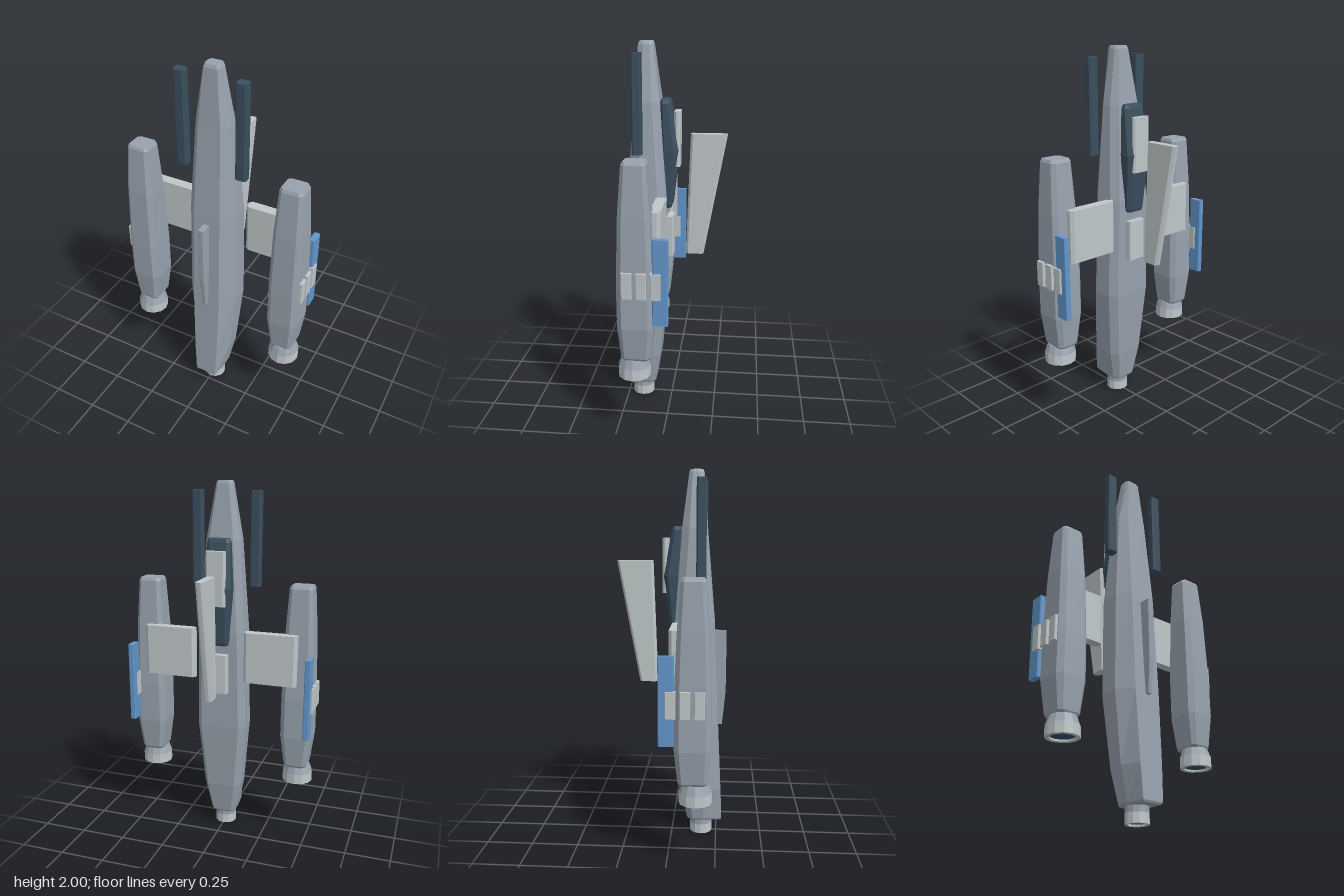
import * as THREE from 'three';

const mat = (name, color) => {
  const m = new THREE.MeshStandardMaterial({ color });
  m.name = name;
  return m;
};

// Outline of a rectangle with cut corners, running front -> +x -> back -> -x
function rect(cx, hw, zb, zf, c) {
  return [
    [cx - hw + c, zf], [cx + hw - c, zf], [cx + hw, zf - c], [cx + hw, zb + c],
    [cx + hw - c, zb], [cx - hw + c, zb], [cx - hw, zb + c], [cx - hw, zf - c],
  ];
}

// Hull outline: wide flat back, straight flanks, narrow front face
function hullRing(w, back, mid, front, fw) {
  const c = Math.min(0.03, w * 0.3);
  return [
    [-fw, front], [fw, front], [w, mid], [w, back + c * 1.4],
    [w - c, back], [c - w, back], [-w, back + c * 1.4], [-w, mid],
  ];
}

// Faceted solid through [y, ring] levels from bottom to top, capped at both ends
function loft(levels) {
  const pos = [];
  const put = (l, i) => pos.push(l[1][i % l[1].length][0], l[0], l[1][i % l[1].length][1]);
  const n = levels[0][1].length;
  for (let k = 0; k + 1 < levels.length; k++) {
    const a = levels[k], b = levels[k + 1];
    for (let i = 0; i < n; i++) {
      put(a, i); put(a, i + 1); put(b, i + 1);
      put(a, i); put(b, i + 1); put(b, i);
    }
  }
  const bottom = levels[0], top = levels[levels.length - 1];
  for (let i = 1; i < n - 1; i++) {
    put(bottom, 0); put(bottom, i + 1); put(bottom, i);
    put(top, 0); put(top, i); put(top, i + 1);
  }
  const g = new THREE.BufferGeometry();
  g.setAttribute('position', new THREE.Float32BufferAttribute(pos, 3));
  g.computeVertexNormals();
  return g;
}

// Upright block with cut vertical edges
const block = (cx, hw, y0, y1, zb, zf, c) =>
  loft([[y0, rect(cx, hw, zb, zf, c)], [y1, rect(cx, hw, zb, zf, c)]]);

export function createModel() {
  const model = new THREE.Group();
  model.name = 'spacecraft';
  const grey = mat('hull grey', 0x98a2ae);
  const pale = mat('pale panel', 0xbfc7c8);
  const navy = mat('dark navy', 0x3a4f5e);
  const blue = mat('blue accent', 0x6297cb);
  const glow = mat('engine interior', 0x36536e);

  const add = (name, geometry, material, parent = model) => {
    const m = new THREE.Mesh(geometry, material);
    m.name = name;
    parent.add(m);
    return m;
  };

  // Engine nozzle: grey sleeve, pale lip and dark recessed disc
  function nozzle(name, x, z, y0, y1, rBottom, rTop) {
    const g = new THREE.Group();
    g.name = name;
    g.position.set(x, 0, z);
    model.add(g);
    const ym = y0 + (y1 - y0) * 0.55, rm = rBottom * 0.96 + rTop * 0.04;
    const wall = (pts) => new THREE.LatheGeometry(pts.map((p) => new THREE.Vector2(...p)), 12).toNonIndexed();
    const sleeve = wall([[rm, ym], [rTop, y1], [0, y1]]);
    const lip = wall([[rBottom * 0.74, y0 + 0.012], [rBottom * 0.74, y0], [rBottom, y0], [rm, ym]]);
    for (const s of [sleeve, lip]) s.computeVertexNormals();
    add('nozzleSleeve', sleeve, grey, g);
    add('nozzleLip', lip, pale, g);
    const disc = add('nozzleInterior', new THREE.CircleGeometry(rBottom * 0.75, 12), glow, g);
    disc.rotation.x = Math.PI / 2;
    disc.position.y = y0 + 0.01;
  }

  // Central hull
  add('hull', loft([
    [0.085, hullRing(0.066, 0.095, 0.18, 0.276, 0.055)],
    [0.095, hullRing(0.073, 0.088, 0.18, 0.281, 0.062)],
    [0.27, hullRing(0.108, 0.06, 0.175, 0.273, 0.07)],
    [0.65, hullRing(0.14, 0.032, 0.17, 0.255, 0.078)],
    [1.2, hullRing(0.13, 0.022, 0.165, 0.232, 0.075)],
    [1.7, hullRing(0.095, 0.057, 0.15, 0.19, 0.06)],
    [1.985, hullRing(0.045, 0.092, 0.145, 0.17, 0.036)],
    [2, hullRing(0.038, 0.098, 0.143, 0.163, 0.03)],
  ]), grey);
  nozzle('hullNozzle', 0, 0.165, 0, 0.095, 0.061, 0.06);

  // Keel along the front of the hull
  add('keel', loft([
    [0.63, rect(0, 0.011, 0.2, 0.278, 0.003)],
    [0.82, rect(0, 0.015, 0.2, 0.296, 0.004)],
    [1.155, rect(0, 0.016, 0.2, 0.297, 0.004)],
  ]), grey);

  // Canopy with its back plate, and the plate lower on the spine
  add('canopy', loft([
    [1.135, rect(0, 0.05, 0.0, 0.04, 0.012)],
    [1.15, rect(0, 0.058, -0.006, 0.05, 0.016)],
    [1.45, rect(0, 0.077, -0.04, 0.06, 0.024)],
    [1.69, rect(0, 0.064, 0.002, 0.06, 0.017)],
    [1.71, rect(0, 0.055, 0.01, 0.052, 0.012)],
  ]), navy);
  add('canopyPlate', block(0, 0.054, 1.36, 1.65, -0.047, -0.015, 0.01), pale);
  add('spinePlate', block(0, 0.054, 0.865, 1.085, -0.012, 0.045, 0.008), pale);

  // Swept tail fin standing clear behind the hull
  add('tailFin', loft([
    [0.87, rect(0, 0.022, -0.175, -0.077, 0.012)],
    [1.53, rect(0, 0.022, -0.294, -0.1, 0.012)],
  ]), pale);

  for (const s of [1, -1]) {
    const side = s > 0 ? 'left' : 'right';

    // Wing and forward gun
    add(side + 'Wing', block(s * 0.287, 0.147, 0.935, 1.215, 0.013, 0.069, 0.016), pale);
    add(side + 'Gun', block(s * 0.164, 0.029, 1.445, 1.95, 0.136, 0.187, 0.008), navy);

    // Engine pod: [y, half width, back z, front z, corner cut]
    const pod = [
      [0.445, 0.056, 0.068, 0.203, 0.018], [0.458, 0.064, 0.06, 0.21, 0.02],
      [0.63, 0.086, 0.042, 0.225, 0.026], [0.85, 0.085, 0.041, 0.226, 0.026],
      [1.2, 0.077, 0.055, 0.214, 0.023], [1.455, 0.063, 0.073, 0.194, 0.018],
      [1.47, 0.056, 0.081, 0.186, 0.014],
    ];
    add(side + 'Pod', loft(pod.map(([y, hw, zb, zf, c]) => [y, rect(s * 0.432, hw, zb, zf, c)])), grey);
    nozzle(side + 'PodNozzle', s * 0.434, 0.148, 0.345, 0.447, 0.085, 0.067);

    // Blue strip and the row of three small plates on the outer flank
    add(side + 'Strip', block(s * 0.506, 0.016, 0.66, 1.105, -0.034, 0.043, 0.004), blue);
    for (let i = 0; i < 3; i++) {
      const z = 0.026 + i * 0.0715;
      add(side + 'FlankPlate', block(s * 0.508, 0.024, 0.8, 0.933, z - 0.026, z + 0.026, 0.003), pale);
    }
  }
  return model;
}
